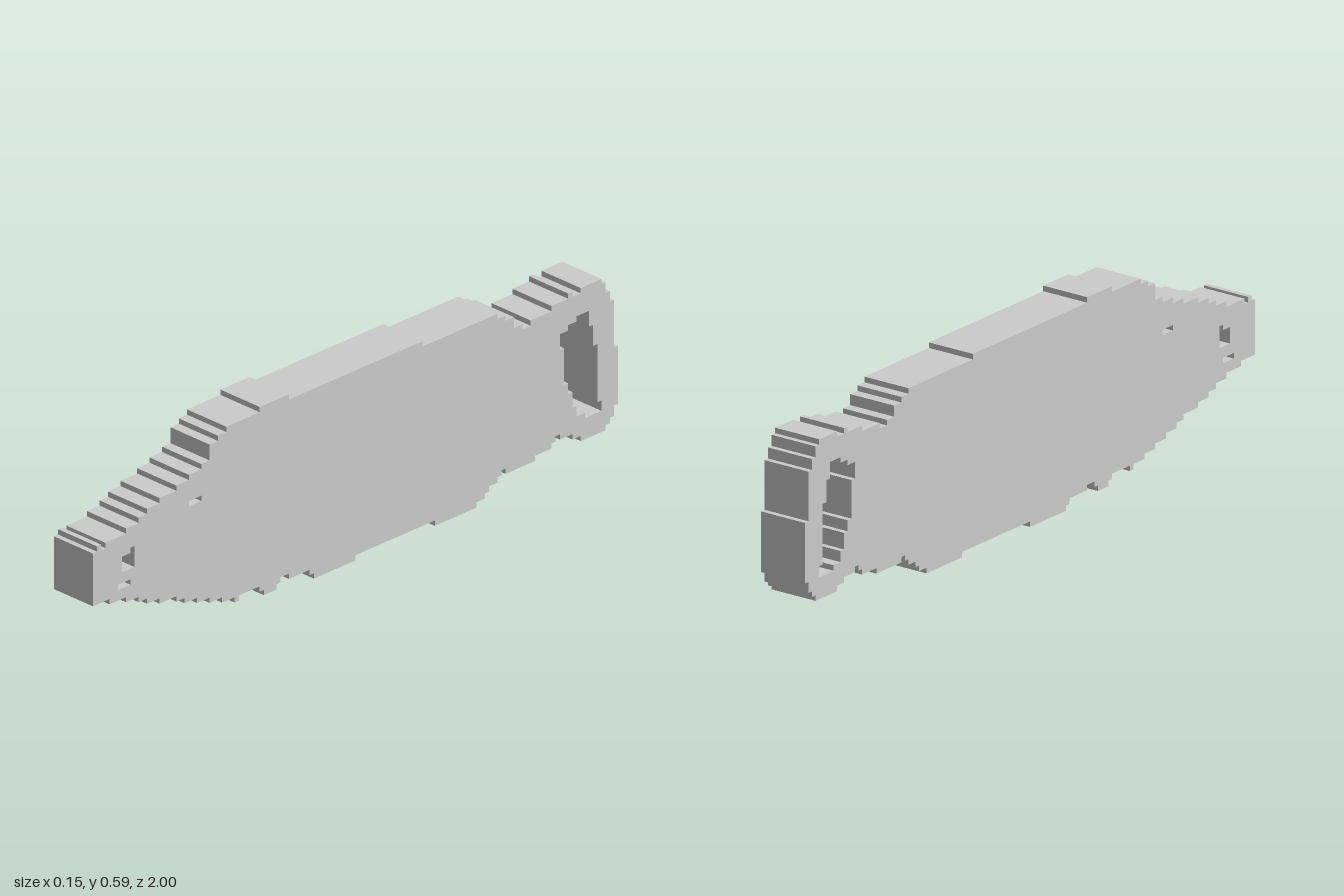
import * as THREE from 'three';

// The slab is drawn on a grid 126 cells long, counted from the front end (z = 1).
const CELL = 2 / 126;
const WIDTH = 0.15;
const point = (col, row) => new THREE.Vector2(1 - col * CELL, row * CELL);

// Stepped edges as runs: [column where the run ends, height in rows]
const TOP = [
  [1, 23], [2, 24], [3, 23], [8, 24], [11, 25], [13, 26], [16, 27], [20, 28],
  [23, 29], [26, 30], [28, 31], [30, 34], [32, 35], [40, 36], [47, 37], [79, 36],
  [97, 35], [99, 34], [101, 33], [103, 31], [105, 30], [110, 31], [114, 32],
  [115, 33], [117, 32], [122, 33], [123, 32], [124, 30], [125, 28], [126, 19],
];
const BOTTOM = [
  [4, 13], [8, 12], [11, 11], [13, 10], [16, 9], [20, 8], [22, 7], [25, 6],
  [28, 5], [31, 4], [34, 3], [35, 2], [40, 3], [41, 2], [44, 1], [45, 2], [47, 3],
  [52, 2], [53, 1], [63, 0], [82, 1], [92, 0], [94, 1], [95, 2], [97, 3], [98, 4],
  [99, 5], [106, 4], [110, 5], [111, 6], [112, 7], [115, 6], [117, 5], [123, 4],
  [124, 5], [125, 6], [126, 8],
];

// Openings as [start column, then runs of the upper and lower edges]
const OPENINGS = [
  // handle opening
  { start: 112,
    top: [[114, 26], [116, 27], [119, 28], [120, 25], [121, 21], [122, 10]],
    bottom: [[113, 23], [114, 16], [115, 14], [116, 11], [118, 9], [122, 8]] },
  // slots near the front
  { start: 7, top: [[9, 20], [10, 21]], bottom: [[10, 17]] },
  { start: 6, top: [[9, 15]], bottom: [[9, 14]] },
  { start: 23, top: [[26, 25]], bottom: [[26, 24]] },
];

function steps(start, runs) {
  const pts = [];
  let col = start;
  for (const [end, row] of runs) {
    pts.push(point(col, row), point(end, row));
    col = end;
  }
  return pts;
}

const outline = (start, top, bottom) =>
  [...steps(start, top), ...steps(start, bottom).reverse()];

export function createModel() {
  const group = new THREE.Group();
  group.name = 'steppedSlab';

  const shape = new THREE.Shape(outline(0, TOP, BOTTOM));
  for (const { start, top, bottom } of OPENINGS) {
    shape.holes.push(new THREE.Path(outline(start, top, bottom)));
  }

  // Side profile extruded across the width
  const geometry = new THREE.ExtrudeGeometry(shape, { depth: WIDTH, bevelEnabled: false });
  geometry.translate(0, 0, -WIDTH / 2);
  geometry.rotateY(-Math.PI / 2);

  const body = new THREE.Mesh(
    geometry,
    new THREE.MeshStandardMaterial({ color: 0xcccccc, flatShading: true })
  );
  body.name = 'bodyWithHandle';
  group.add(body);
  return group;
}
